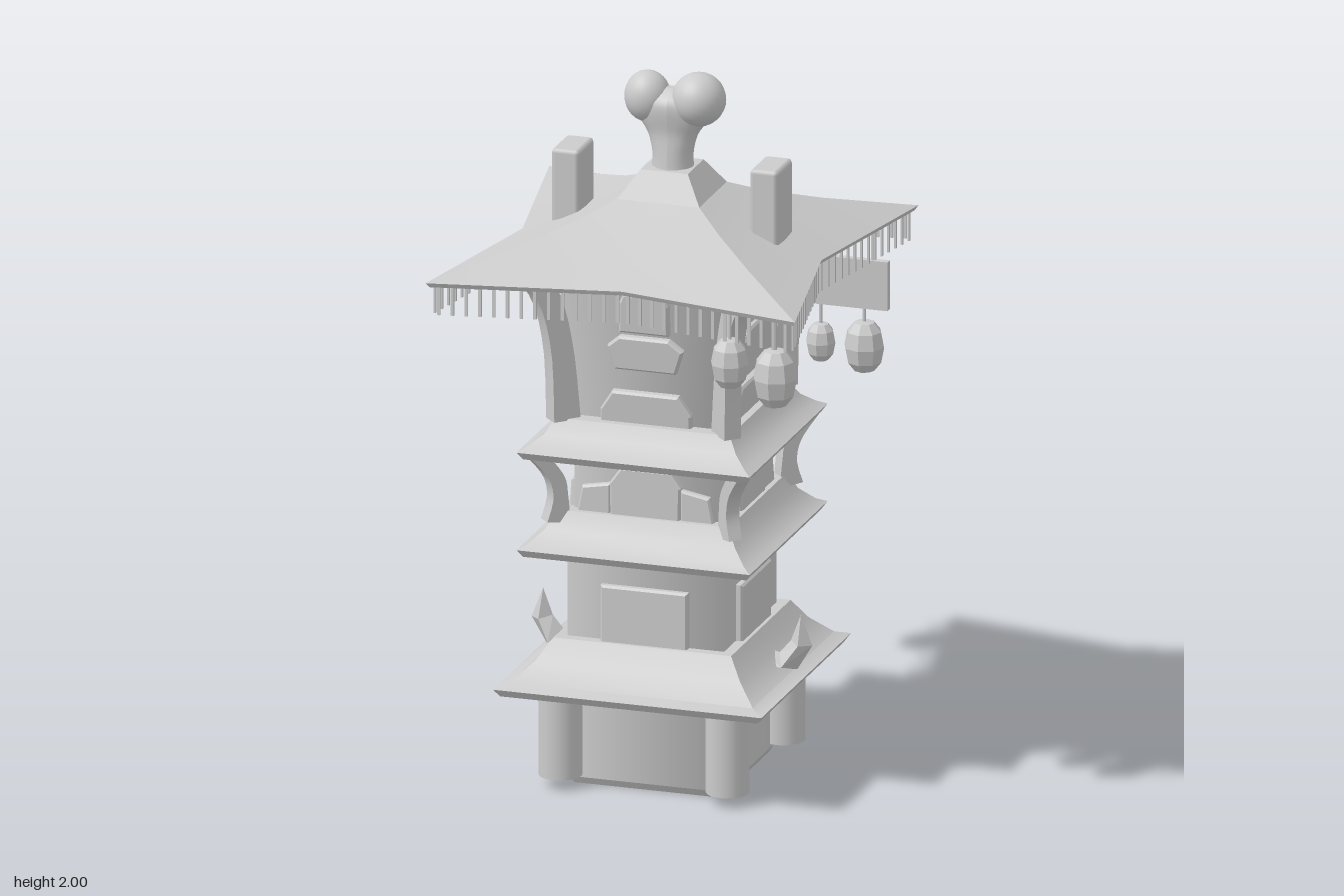
import * as THREE from 'three';
import { mergeGeometries, toCreasedNormals } from 'three/addons/utils/BufferGeometryUtils.js';
import { RoundedBoxGeometry } from 'three/addons/geometries/RoundedBoxGeometry.js';

const grey = new THREE.MeshStandardMaterial({ color: 0xcccccc });
const greyFlat = new THREE.MeshStandardMaterial({ color: 0xcccccc, flatShading: true });
const V2 = (x, y) => new THREE.Vector2(x, y);

export function createModel() {
  const model = new THREE.Group();

  function add(name, geometry, x = 0, y = 0, z = 0, parent = model, material = grey) {
    const mesh = new THREE.Mesh(geometry, material);
    mesh.name = name;
    mesh.position.set(x, y, z);
    parent.add(mesh);
    return mesh;
  }

  // Four copies of a part turned around the tower axis
  function fourSides(name, build, start = 0) {
    for (let i = 0; i < 4; i++) {
      const side = new THREE.Group();
      side.name = name;
      side.rotation.y = start + i * Math.PI / 2;
      build(side);
      model.add(side);
    }
  }

  // Square solid from [half width, y] points, listed bottom to top
  function squareSolid(profile, segments = 4) {
    const pts = profile.map(([r, y]) => V2(r * Math.SQRT2, y));
    return new THREE.LatheGeometry(pts, segments, Math.PI / 4);
  }

  // Wall sections
  const wall = (name, bottom, r0, top, r1) => add(name,
    new THREE.CylinderGeometry(r1 * Math.SQRT2, r0 * Math.SQRT2, top - bottom, 4, 1, false, Math.PI / 4),
    0, (top + bottom) / 2, 0);
  wall('basePlinth', 0, 0.21, 0.02, 0.22);
  wall('baseWall', 0.02, 0.22, 0.3, 0.22);
  wall('secondWall', 0.4, 0.225, 0.69, 0.225);
  wall('thirdWall', 0.77, 0.21, 0.97, 0.21);
  wall('upperWall', 1.04, 0.205, 1.495, 0.245);

  // Skirt roofs between the storeys
  function skirt(name, y, outer, height, inner) {
    const d = outer - inner;
    add(name, toCreasedNormals(squareSolid([
      [0, y], [outer - 0.015, y], [outer, y + 0.022],
      [inner + d * 0.72, y + 0.035], [inner + d * 0.3, y + height * 0.6],
      [inner, y + height], [0, y + height],
    ]), 0.5));
  }
  skirt('lowerSkirtRoof', 0.28, 0.385, 0.145, 0.255);
  skirt('middleSkirtRoof', 0.67, 0.335, 0.12, 0.245);
  skirt('upperSkirtRoof', 0.95, 0.335, 0.105, 0.25);

  // Main roof: eaves drawn in at the middle of each side
  const pull = r => 1 - 0.19 * THREE.MathUtils.smoothstep(r, 0.08, 0.5);
  const roof = squareSolid([
    [0, 1.487], [0.522, 1.487], [0.53, 1.5], [0.325, 1.565],
    [0.2, 1.613], [0.118, 1.655], [0.068, 1.73], [0, 1.735],
  ], 8);
  const rp = roof.attributes.position;
  for (let i = 0; i < rp.count; i++) {
    if (Math.floor(i / 8) % 2 === 0) continue;
    const half = Math.hypot(rp.getX(i), rp.getZ(i)) / Math.SQRT2;
    const f = pull(half) / Math.SQRT2;
    rp.setX(i, rp.getX(i) * f);
    rp.setZ(i, rp.getZ(i) * f);
  }
  add('mainRoof', toCreasedNormals(roof, 0.45));

  // Fringe hanging from the eaves
  const strips = [];
  for (let side = 0; side < 4; side++) {
    for (const s of [-1, 1]) {
      for (let i = 0; i < 14; i++) {
        const t = (i + 0.4) / 14;
        const strip = new THREE.BoxGeometry(0.009, 0.085, 0.006);
        strip.translate(s * 0.52 * t, 1.45, 0.42 + 0.098 * t);
        strip.rotateY(side * Math.PI / 2);
        strips.push(strip);
      }
    }
  }
  add('roofFringe', mergeGeometries(strips));

  // Corner pillars
  fourSides('cornerPillar', side =>
    add('pillar', new THREE.CylinderGeometry(0.06, 0.06, 0.26, 24), 0.24, 0.16, 0.24, side));

  // Curved struts on the corners, outlined by [half width, y] points
  function strut(outer, inner, width) {
    const curve = pts => new THREE.SplineCurve(pts.map(([r, y]) => V2(r * Math.SQRT2, y))).getPoints(10);
    const shape = new THREE.Shape([...curve(outer), ...curve(inner).reverse()]);
    const g = new THREE.ExtrudeGeometry(shape, { depth: width, bevelEnabled: false });
    return toCreasedNormals(g.translate(0, 0, -width / 2), 0.6);
  }
  const beam = strut(
    [[0.262, 1.05], [0.268, 1.25], [0.295, 1.4], [0.35, 1.492]],
    [[0.205, 1.05], [0.22, 1.25], [0.245, 1.4], [0.28, 1.492]], 0.05);
  const bracket = strut(
    [[0.31, 0.955], [0.272, 0.89], [0.262, 0.83], [0.275, 0.765]],
    [[0.272, 0.955], [0.238, 0.89], [0.23, 0.83], [0.225, 0.755]], 0.04);
  fourSides('cornerStruts', side => {
    add('upperBeam', beam, 0, 0, 0, side);
    add('bracket', bracket, 0, 0, 0, side);
  }, Math.PI / 4);

  // Raised wall panels
  function panel(name, points, z, side, tilt = 0) {
    const cy = points.reduce((sum, p) => sum + p[1], 0) / points.length;
    const g = new THREE.ExtrudeGeometry(new THREE.Shape(points.map(([x, y]) => V2(x, y - cy))), {
      depth: 0.03, bevelSize: 0.006, bevelOffset: -0.006, bevelThickness: 0.006, bevelSegments: 1,
    });
    add(name, g.translate(0, 0, -0.016), 0, cy, z, side).rotation.x = tilt;
  }
  fourSides('wallPanels', side => {
    panel('largePanel', [[-0.125, 0.41], [0.125, 0.41], [0.125, 0.585], [-0.125, 0.585]], 0.225, side);
    panel('archPanel', [[-0.1, 0.78], [0.1, 0.78], [0.102, 0.88], [0.07, 0.925], [-0.07, 0.925], [-0.102, 0.88]], 0.215, side);
    panel('leftSmallPanel', [[0.1, 0.78], [0.198, 0.78], [0.183, 0.86], [0.1, 0.875]], 0.21, side);
    panel('rightSmallPanel', [[-0.198, 0.78], [-0.1, 0.78], [-0.1, 0.875], [-0.183, 0.86]], 0.21, side);
    panel('lowWindow', [[-0.13, 1.05], [0.13, 1.05], [0.13, 1.09], [0.095, 1.145], [-0.095, 1.145], [-0.13, 1.09]], 0.212, side, 0.09);
    panel('middleWindow', [[-0.085, 1.21], [0.09, 1.21], [0.112, 1.278], [0.072, 1.308], [-0.07, 1.308], [-0.105, 1.278]], 0.226, side, 0.09);
    panel('highWindow', [[-0.07, 1.32], [0.073, 1.32], [0.073, 1.408], [0.06, 1.435], [-0.055, 1.435], [-0.067, 1.408]], 0.236, side, 0.09);
  });

  // Back door with two knobs
  add('backDoor', new RoundedBoxGeometry(0.235, 0.19, 0.04, 1, 0.006), 0, 0.14, -0.222);
  for (const x of [-0.025, 0.028]) {
    add('doorKnob', new THREE.SphereGeometry(0.019, 12, 8), x, 0.13, -0.248).scale.y = 1.25;
  }

  // Curved horns on the lower skirt: bottom, side, top, side of each section
  const section = (xo, yo, xi, yi, w) => {
    const x = (xo + xi) / 2, y = (yo + yi) / 2;
    return [[xo, yo, 0], [x, y, w], [xi, yi, 0], [x, y, -w]];
  };
  const rings = [
    section(0.25, 0.31, 0.25, 0.375, 0.06),
    section(0.36, 0.318, 0.31, 0.362, 0.065),
    section(0.403, 0.39, 0.342, 0.4, 0.035),
    section(0.37, 0.475, 0.37, 0.475, 0),
  ];
  const corners = [];
  for (let i = 0; i < rings.length - 1; i++) {
    for (let k = 0; k < 4; k++) {
      const n = (k + 1) % 4, a = rings[i], b = rings[i + 1];
      corners.push(...a[k], ...b[k], ...a[n], ...a[n], ...b[k], ...b[n]);
    }
  }
  const horn = new THREE.BufferGeometry();
  horn.setAttribute('position', new THREE.Float32BufferAttribute(corners, 3));
  horn.computeVertexNormals();
  add('leftHorn', horn, 0, 0, 0, model, greyFlat);
  add('rightHorn', horn, 0, 0, 0, model, greyFlat).rotation.y = Math.PI;

  // Chimneys
  for (const s of [-1, 1]) {
    add('chimney', new RoundedBoxGeometry(0.08, 0.24, 0.138, 1, 0.012), s * 0.285, 1.642, 0);
  }

  // Bone finial: flared stem with two knuckles
  const bone = new THREE.Group();
  bone.name = 'boneFinial';
  model.add(bone);
  const stem = new THREE.LatheGeometry(new THREE.SplineCurve([
    V2(0.062, 1.7), V2(0.056, 1.76), V2(0.07, 1.82), V2(0.1, 1.87), V2(0.1, 1.92), V2(0.035, 1.95), V2(0, 1.95),
  ]).getPoints(24), 24);
  const sp = stem.attributes.position;
  for (let i = 0; i < sp.count; i++) {
    const flare = THREE.MathUtils.smoothstep(sp.getY(i), 1.74, 1.87);
    sp.setZ(i, sp.getZ(i) * (1 - 0.45 * flare));
  }
  stem.computeVertexNormals();
  add('boneStem', stem, 0.003, 0, 0, bone);
  const knuckle = new THREE.SphereGeometry(1, 24, 16);
  add('leftKnuckle', knuckle, 0.077, 1.925, 0, bone).scale.set(0.075, 0.075, 0.074);
  add('rightKnuckle', knuckle, -0.07, 1.92, 0, bone).scale.set(0.064, 0.072, 0.062);

  // Hanging lanterns: faceted body, caps and cord
  function lantern(x, y, z, r, h, cordTop) {
    const g = new THREE.Group();
    g.name = 'lantern';
    g.position.set(x, y, z);
    model.add(g);
    const profile = [[0, -1], [0.5, -0.95], [0.85, -0.6], [1, 0], [0.85, 0.6], [0.5, 0.95], [0, 1]];
    add('lanternBody', new THREE.LatheGeometry(profile.map(([a, b]) => V2(a * r, b * h)), 8),
      0, 0, 0, g, greyFlat);
    const cord = cordTop - y - h * 0.9;
    add('lanternCord', new THREE.CylinderGeometry(0.005, 0.005, cord, 6), 0, h * 0.9 + cord / 2, 0, g);
  }
  lantern(0.44, 1.3, 0.43, 0.062, 0.082, 1.49);
  lantern(0.3, 1.318, 0.4, 0.054, 0.07, 1.49);
  lantern(-0.42, 1.313, -0.44, 0.062, 0.078, 1.49);
  lantern(-0.3, 1.352, -0.41, 0.052, 0.07, 1.49);
  lantern(0.415, 1.122, -0.41, 0.057, 0.072, 1.24);
  lantern(0.29, 1.122, -0.41, 0.042, 0.054, 1.24);

  // Hanging sign board
  add('signBoard', new THREE.BoxGeometry(0.26, 0.14, 0.02), 0.355, 1.302, -0.41);
  for (const x of [0.27, 0.44]) {
    add('signCord', new THREE.CylinderGeometry(0.005, 0.005, 0.13, 6), x, 1.43, -0.41);
  }
  return model;
}
